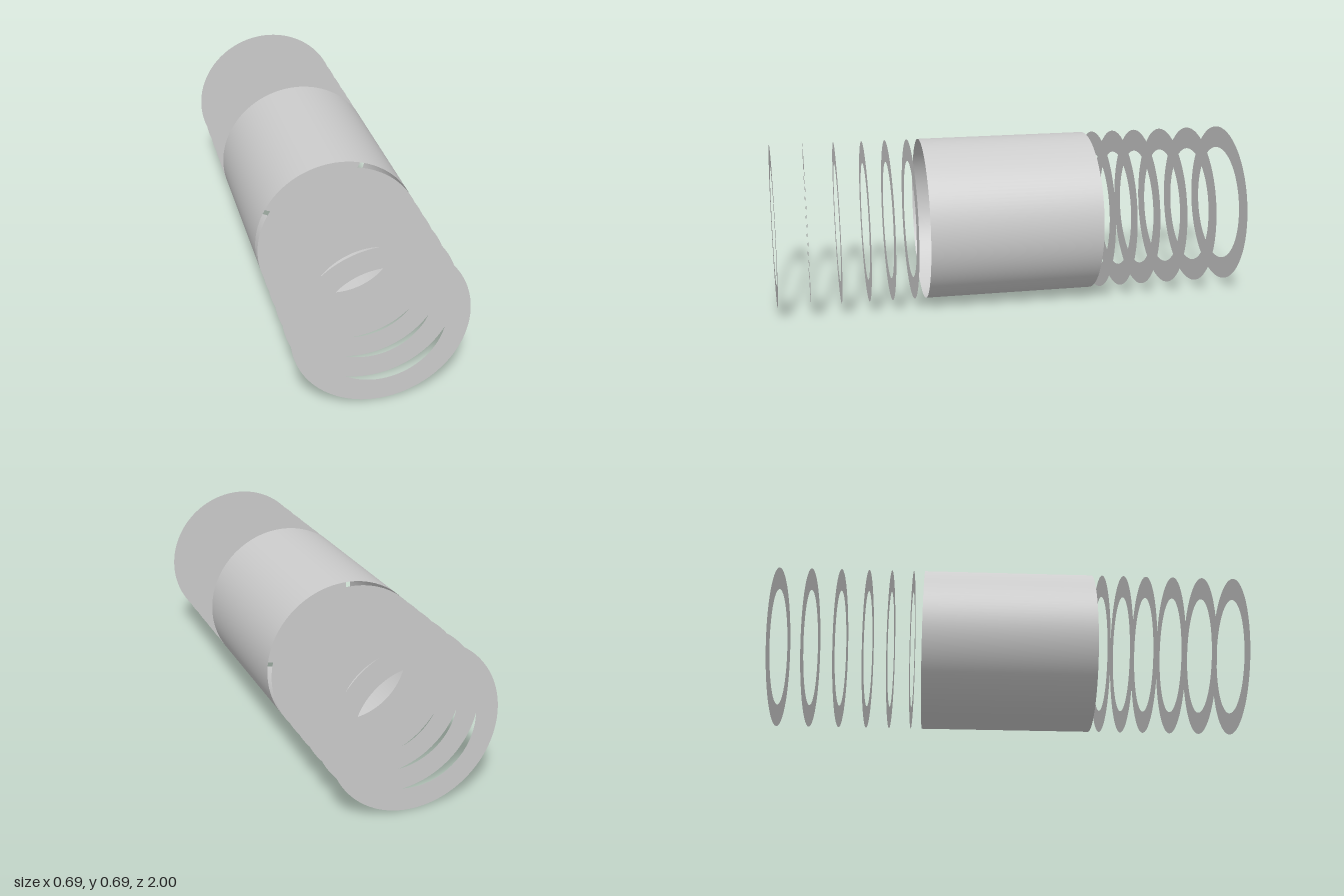
import * as THREE from 'three';

const OUTER = 0.347;
const INNER = 0.253;
const TUBE_HALF = 0.366;
// Distances of the ring plates from the middle, spreading outwards
const RING_OFFSETS = [0.415, 0.51, 0.61, 0.73, 0.86, 1.0];

export function createModel() {
  const model = new THREE.Group();
  const material = new THREE.MeshStandardMaterial({ color: 0xcccccc, side: THREE.DoubleSide });

  // Open thin-walled tube lying along z
  const tubeGeometry = new THREE.CylinderGeometry(OUTER, OUTER, TUBE_HALF * 2, 128, 1, true);
  tubeGeometry.rotateX(Math.PI / 2);
  const tube = new THREE.Mesh(tubeGeometry, material);
  tube.name = 'centralTube';
  tube.position.y = OUTER;
  model.add(tube);

  // Paper-thin ring plates, mirrored front and back
  const ringGeometry = new THREE.RingGeometry(INNER, OUTER, 128);
  for (const [side, sign] of [['front', 1], ['back', -1]]) {
    RING_OFFSETS.forEach((offset, i) => {
      const ring = new THREE.Mesh(ringGeometry, material);
      ring.name = `${side}Ring${i + 1}`;
      ring.position.set(0, OUTER, sign * offset);
      if (sign < 0) ring.rotation.y = Math.PI;
      model.add(ring);
    });
  }

  return model;
}
